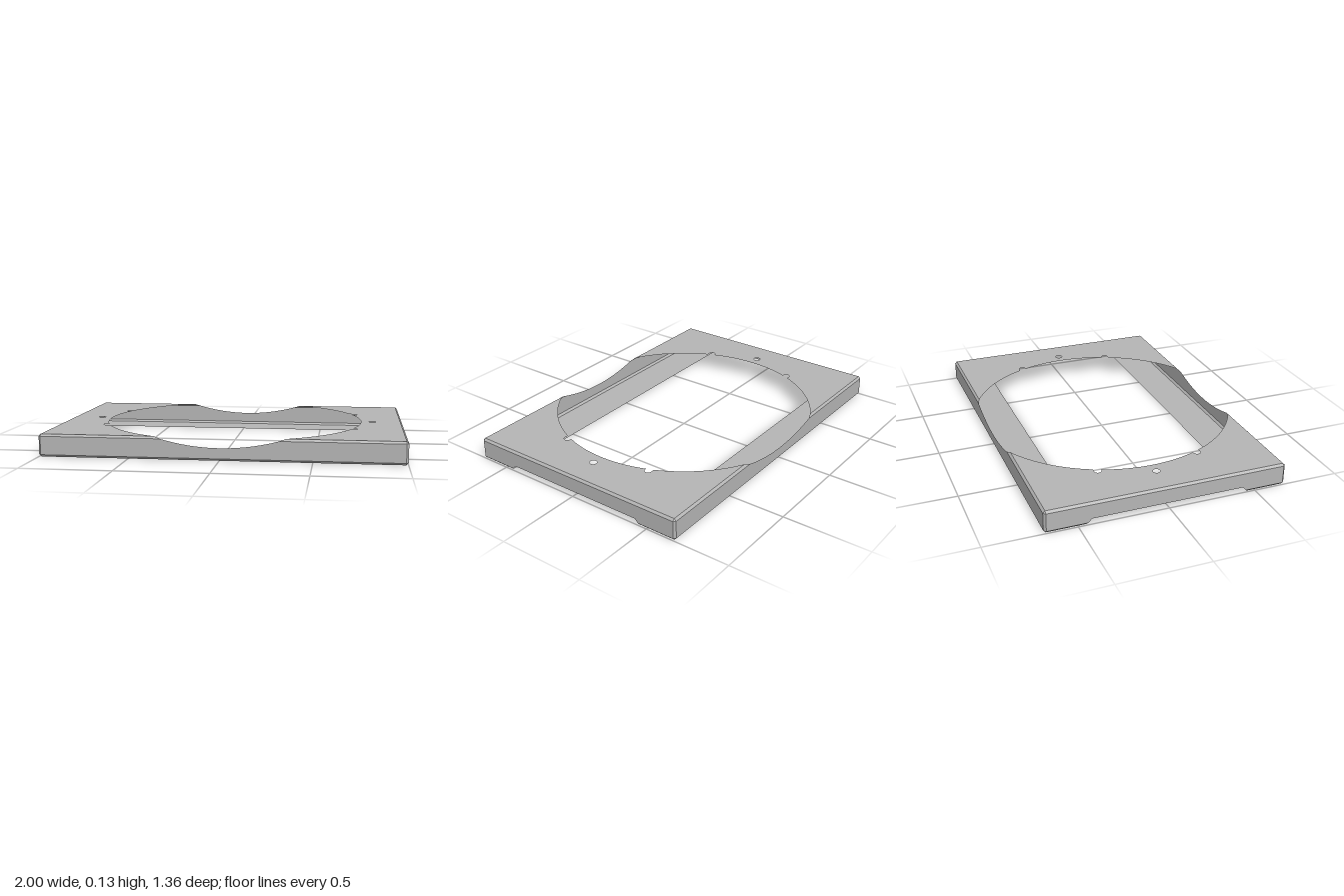
import * as THREE from 'three';

const X = 1, Z = 0.68, H = 0.126;        // half width, half depth, height
const C = 0.012;                         // bevel of every bent edge
const R = 0.757;                         // large opening
const FLANGE = 0.455;                    // inner edge of the bottom flanges
const xi = X - C, zi = Z - C, yi = H - C;
const onCircle = (z) => Math.sqrt(R * R - z * z);

export function createModel() {
  const model = new THREE.Group();
  const metal = new THREE.MeshStandardMaterial({ color: 0xb4b4b4, side: THREE.DoubleSide });
  metal.name = 'grey sheet metal';

  const add = (name, geometry) => {
    geometry.computeVertexNormals();
    const mesh = new THREE.Mesh(geometry, metal);
    mesh.name = name;
    model.add(mesh);
  };

  // Flat panel: a 2D shape placed in space by a mapping rule
  const panel = (name, shape, place) => {
    const g = new THREE.ShapeGeometry(shape, 40);
    const p = g.attributes.position;
    for (let i = 0; i < p.count; i++) p.setXYZ(i, ...place(p.getX(i), p.getY(i)));
    add(name, g);
  };

  // Bevel face with three or four corners
  const facet = (name, ...pts) => {
    const g = new THREE.BufferGeometry();
    g.setAttribute('position', new THREE.Float32BufferAttribute(pts.flat(), 3));
    g.setIndex(pts.length === 4 ? [0, 1, 2, 0, 2, 3] : [0, 1, 2]);
    add(name, g);
  };

  const polygon = (pts) => new THREE.Shape(pts.map(([a, b]) => new THREE.Vector2(a, b)));

  // One side of the top: arc with two U-shaped notches, and a round hole
  const top = polygon([[onCircle(zi), zi], [xi, zi], [xi, -zi], [onCircle(zi), -zi]]);
  const nx = 0.715, nz = 0.29, nr = 0.02;
  const angle = (z) => Math.asin(z / R);
  const stops = [-zi, -nz - nr, -nz + nr, nz - nr, nz + nr, zi];
  for (let i = 0; i < 6; i += 2) {
    top.absarc(0, 0, R, angle(stops[i]), angle(stops[i + 1]), false);
    if (i < 4) top.absarc(nx, i ? nz : -nz, nr, -Math.PI / 2, Math.PI / 2, false);
  }
  const hole = new THREE.Path();
  hole.absarc(0.825, 0, 0.02, 0, Math.PI * 2, true);
  top.holes.push(hole);

  // End wall, raised in the middle between the flanges
  const end = polygon([
    [-zi, yi], [-zi, C], [-0.446, C], [-0.427, 0.033],
    [0.427, 0.033], [0.446, C], [zi, C], [zi, yi],
  ]);

  // Long wall with a shallow dip where the opening meets it
  const dipX = onCircle(Z) - 0.012, dipY = 0.07;
  const dip = [];
  for (let i = 0; i <= 32; i++) {
    const t = 1 - i / 16;
    dip.push([t * dipX, dipY + (yi - dipY) * t * t]);
  }
  const long = polygon([[-xi, yi], [-xi, C], [xi, C], [xi, yi], ...dip]);

  const flange = polygon([[-xi, FLANGE], [xi, FLANGE], [xi, zi], [-xi, zi]]);

  for (const s of [-1, 1]) {
    panel('topPlate', top, (x, z) => [s * x, H, z]);
    panel('endWall', end, (z, y) => [s * X, y, z]);
    panel('longWall', long, (x, y) => [x, y, s * Z]);
    panel('bottomFlange', flange, (x, z) => [x, 0, s * z]);

    facet('topEndBevel', [s * xi, H, -zi], [s * xi, H, zi], [s * X, yi, zi], [s * X, yi, -zi]);
    facet('bottomLongBevel', [-xi, 0, s * zi], [xi, 0, s * zi], [xi, C, s * Z], [-xi, C, s * Z]);

    // Bevels around each corner
    for (const t of [-1, 1]) {
      facet('topLongBevel', [s * onCircle(zi), H, t * zi], [s * xi, H, t * zi],
        [s * xi, yi, t * Z], [s * dipX, yi, t * Z]);
      facet('bottomEndBevel', [s * xi, 0, t * FLANGE], [s * xi, 0, t * zi],
        [s * X, C, t * zi], [s * X, C, t * 0.446]);
      facet('cornerBevel', [s * X, C, t * zi], [s * xi, C, t * Z],
        [s * xi, yi, t * Z], [s * X, yi, t * zi]);
      facet('topCorner', [s * xi, H, t * zi], [s * X, yi, t * zi], [s * xi, yi, t * Z]);
      facet('bottomCorner', [s * xi, 0, t * zi], [s * X, C, t * zi], [s * xi, C, t * Z]);
    }
  }
  return model;
}
